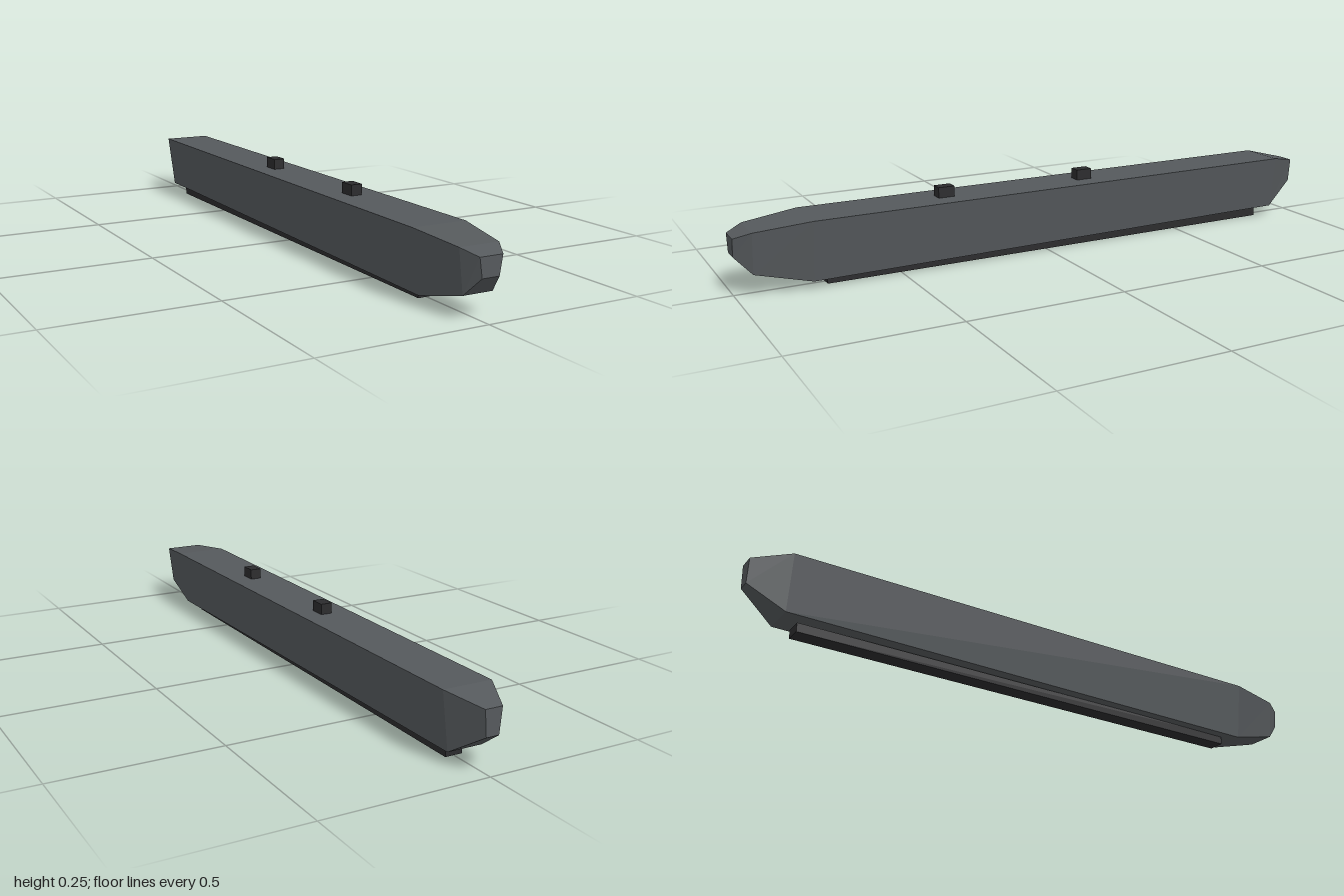
import * as THREE from 'three';

// Cross-sections from front to rear: z, top y, top half width, bottom y, bottom half width
const SECTIONS = [
  [1.0, 0.178, 0.036, 0.122, 0.027],
  [0.95, 0.195, 0.062, 0.068, 0.047],
  [0.78, 0.212, 0.085, 0.025, 0.06],
  [-0.89, 0.212, 0.077, 0.037, 0.055],
  [-1.0, 0.187, 0.027, 0.11, 0.02],
];

// Lofts the tapered four-sided sections and closes both ends
function loft(sections) {
  const rings = sections.map(([z, yt, wt, yb, wb]) => [
    [-wb, yb, z], [wb, yb, z], [wt, yt, z], [-wt, yt, z],
  ]);
  const points = [];
  const quad = (a, b, c, d) => points.push(...a, ...b, ...c, ...a, ...c, ...d);
  quad(...rings[0]);
  for (let i = 0; i < rings.length - 1; i++) {
    const front = rings[i], back = rings[i + 1];
    for (let j = 0; j < 4; j++) {
      const k = (j + 1) % 4;
      quad(front[j], back[j], back[k], front[k]);
    }
  }
  quad(...rings[rings.length - 1].slice().reverse());
  const geometry = new THREE.BufferGeometry();
  geometry.setAttribute('position', new THREE.Float32BufferAttribute(points, 3));
  geometry.computeVertexNormals();
  return geometry;
}

export function createModel() {
  const model = new THREE.Group();
  model.name = 'taperedPod';

  const shell = new THREE.MeshStandardMaterial({ color: 0x55595c });
  shell.name = 'slate grey';
  const fittings = new THREE.MeshStandardMaterial({ color: 0x2b2b2d });
  fittings.name = 'dark grey';

  const add = (name, geometry, material, x, y, z) => {
    const mesh = new THREE.Mesh(geometry, material);
    mesh.name = name;
    mesh.position.set(x, y, z);
    model.add(mesh);
  };

  // Faceted body
  add('body', loft(SECTIONS), shell, 0, 0, 0);

  // Rail along the underside
  add('bottomRail', new THREE.BoxGeometry(0.054, 0.028, 1.575), fittings, 0, 0.014, -0.057);

  // Two mounting lugs on top
  const lug = new THREE.BoxGeometry(0.036, 0.045, 0.052);
  add('frontLug', lug, fittings, 0, 0.2225, 0.341);
  add('rearLug', lug, fittings, 0, 0.2225, -0.145);

  return model;
}
